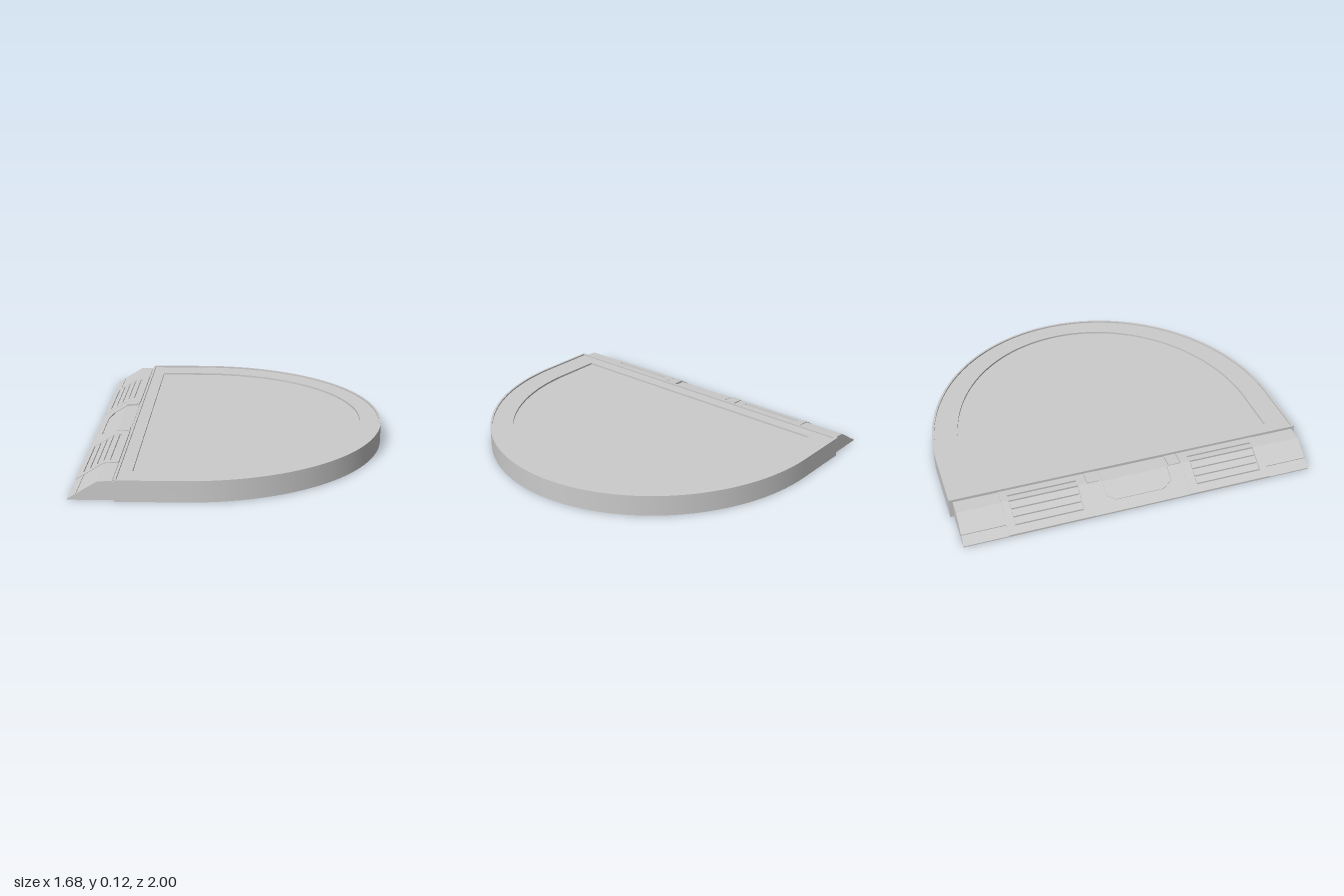
import * as THREE from 'three';
import { toCreasedNormals } from 'three/addons/utils/BufferGeometryUtils.js';

const material = new THREE.MeshStandardMaterial({ color: 0xcccccc });
const FOOT = 0.003;     // tiny clearance under the body for the base frames
const CREST = -0.685;   // where the ramp slope meets its flat top

// D-shaped outline: straight back edge, short straight sides, half-ellipse nose
function dOutline(x0, rx, rz, PathType = THREE.Shape) {
  const path = new PathType();
  path.moveTo(x0, -rz);
  path.lineTo(-0.25, -rz);
  path.absellipse(-0.25, 0, rx, rz, -Math.PI / 2, Math.PI / 2, false, 0);
  path.lineTo(x0, rz);
  path.closePath();
  return path;
}

// Extrude a plan-view shape between two heights
function layer(shape, y0, y1) {
  const g = new THREE.ExtrudeGeometry(shape, { depth: y1 - y0, bevelEnabled: false, curveSegments: 64 });
  g.rotateX(-Math.PI / 2);
  g.translate(0, y0, 0);
  return g;
}

// Height of the ramp surface at x
function rampHeight(x) {
  if (x <= CREST) return 0.004 + (0.1 - 0.004) * (x + 0.84) / (CREST + 0.84);
  return 0.1 + 0.004 * (x - CREST) / (-0.6 - CREST);
}

// A raised plate of plan corners [x, z] that lies on the ramp surface
function plate(corners, rise) {
  const shape = new THREE.Shape(corners.map(([x, z]) => new THREE.Vector2(x, -z)));
  const g = layer(shape, -0.002, rise);
  const p = g.attributes.position;
  for (let i = 0; i < p.count; i++) p.setY(i, Math.max(FOOT, p.getY(i) + rampHeight(p.getX(i))));
  g.computeVertexNormals();
  return g;
}

function rect(x0, x1, z0, z1) {
  return [[x0, z0], [x1, z0], [x1, z1], [x0, z1]];
}

export function createModel() {
  const model = new THREE.Group();
  const add = (name, geometry, parent = model) => {
    const mesh = new THREE.Mesh(geometry, material);
    mesh.name = name;
    parent.add(mesh);
    return mesh;
  };

  // Platform: solid base, rim around the sunken floor, narrow raised lip
  const platform = new THREE.Group();
  platform.name = 'platform';
  model.add(platform);
  add('floor', toCreasedNormals(layer(dOutline(-0.6, 1.09, 1), FOOT, 0.1), 0.5), platform);
  const rim = dOutline(-0.6, 1.09, 1);
  rim.holes.push(dOutline(-0.52, 0.97, 0.855, THREE.Path));
  add('rim', toCreasedNormals(layer(rim, 0.1, 0.111), 0.5), platform);
  const lip = dOutline(-0.6, 1.09, 1);
  lip.holes.push(dOutline(-0.588, 1.078, 0.988, THREE.Path));
  add('lip', toCreasedNormals(layer(lip, 0.111, 0.12), 0.5), platform);

  // Ramp core, extruded along z
  const ramp = new THREE.Group();
  ramp.name = 'ramp';
  model.add(ramp);
  const profile = new THREE.Shape([
    [-0.84, FOOT], [-0.6, FOOT], [-0.6, rampHeight(-0.6)], [CREST, rampHeight(CREST)], [-0.84, 0.004],
  ].map(([x, y]) => new THREE.Vector2(x, y)));
  const core = new THREE.ExtrudeGeometry(profile, { depth: 1.96, bevelEnabled: false });
  core.translate(0, 0, -0.98);
  add('rampCore', core, ramp);

  // Details that repeat on both halves of the ramp
  for (const side of [1, -1]) {
    const strip = (name, x0, x1, z0, z1, rise) => {
      const [a, b] = side > 0 ? [z0, z1] : [-z1, -z0];
      add(name, plate(rect(x0, x1, a, b), rise), ramp);
    };
    // end panels, split by a groove near the toe
    strip('endToe', -0.84, -0.797, 0.74, 0.98, 0.005);
    strip('endSlope', -0.787, CREST, 0.74, 0.98, 0.005);
    strip('endTop', CREST, -0.608, 0.74, 0.98, 0.005);
    // frame around the tread
    for (const [z0, z1] of [[0.27, 0.32], [0.7, 0.74]]) {
      strip('frameSlope', -0.84, CREST, z0, z1, 0.01);
      strip('frameTop', CREST, -0.608, z0, z1, 0.01);
    }
    strip('frameToe', -0.84, -0.805, 0.32, 0.7, 0.01);
    strip('frameCrest', CREST, -0.658, 0.32, 0.7, 0.01);
    strip('frameBack', -0.645, -0.608, 0.32, 0.7, 0.01);
    // tread slats
    for (let i = 0; i < 3; i++) {
      const x = -0.796 + i * 0.037;
      strip('treadSlat', x, x + 0.028, 0.325, 0.695, 0.009);
    }
    // shoulders beside the centre panel
    strip('centreShoulder', CREST, -0.61, 0.2, 0.265, 0.012);

    // shallow rectangular frame underneath
    const foot = new THREE.Shape(rect(-0.812, -0.772, 0.33, 0.69).map(([x, z]) => new THREE.Vector2(x, -z * side)));
    foot.holes.push(new THREE.Path(rect(-0.806, -0.778, 0.337, 0.683).map(([x, z]) => new THREE.Vector2(x, -z * side))));
    add('baseFrame', layer(foot, 0, 0.004), ramp);
  }

  // Centre surround with a chamfered sunken panel
  add('centreSurround', plate([
    [-0.84, -0.27], [CREST, -0.27], [CREST, -0.19], [-0.76, -0.19], [-0.79, -0.14],
    [-0.79, 0.14], [-0.76, 0.19], [CREST, 0.19], [CREST, 0.27], [-0.84, 0.27],
  ], 0.008), ramp);
  add('centrePanel', plate([
    [-0.782, -0.135], [-0.755, -0.182], [CREST, -0.182], [CREST, 0.182], [-0.755, 0.182], [-0.782, 0.135],
  ], 0.003), ramp);
  add('centrePanelTop', plate(rect(CREST, -0.608, -0.182, 0.182), 0.003), ramp);

  return model;
}
